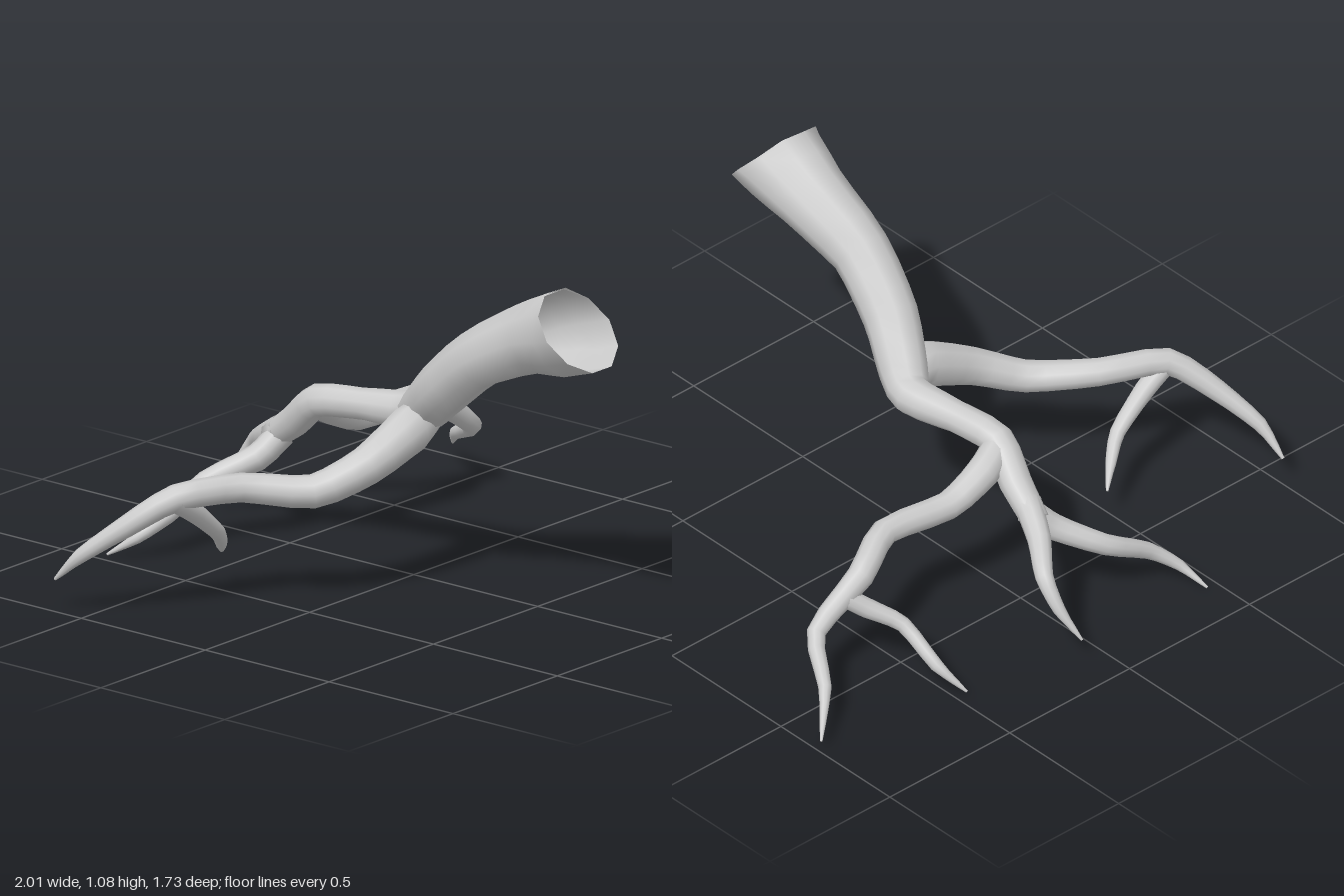
import * as THREE from 'three';

const SIDES = 10;
const STEPS = 3; // rings per path segment

const material = new THREE.MeshStandardMaterial({ color: 0xcccccc, side: THREE.DoubleSide });

// Sweeps a tapering round section along points [x, y, z, radius].
// startNormal tilts the first ring; the last ring closes in a tip.
function limb(name, points, startNormal) {
  const curve = new THREE.CatmullRomCurve3(
    points.map(([x, y, z]) => new THREE.Vector3(x, y, z)), false, 'catmullrom', 0.35);
  const rings = (points.length - 1) * STEPS;
  const positions = [];
  const index = [];
  const side = new THREE.Vector3(1, 0, 0);
  const up = new THREE.Vector3();

  for (let i = 0; i <= rings; i++) {
    const t = i / rings;
    const centre = curve.getPoint(t);
    const normal = i === 0 && startNormal ? startNormal.clone().normalize() : curve.getTangent(t);
    if (i === 0 && Math.abs(normal.x) > 0.8) side.set(0, 1, 0);
    // Carry the previous side vector along so the section does not twist
    side.addScaledVector(normal, -side.dot(normal)).normalize();
    up.crossVectors(normal, side);

    const k = Math.min(Math.floor(i / STEPS), points.length - 2);
    const radius = THREE.MathUtils.lerp(points[k][3], points[k + 1][3], i / STEPS - k);
    for (let j = 0; j < SIDES; j++) {
      const a = (j / SIDES) * Math.PI * 2;
      const p = centre.clone()
        .addScaledVector(side, Math.cos(a) * radius)
        .addScaledVector(up, Math.sin(a) * radius);
      positions.push(p.x, p.y, p.z);
      if (i < rings) {
        const a0 = i * SIDES + j;
        const b0 = i * SIDES + (j + 1) % SIDES;
        index.push(a0, b0, a0 + SIDES, b0, b0 + SIDES, a0 + SIDES);
      }
    }
  }

  // Tip cap
  const last = points[points.length - 1];
  const tip = positions.length / 3;
  positions.push(last[0], last[1], last[2]);
  for (let j = 0; j < SIDES; j++) {
    index.push(rings * SIDES + j, rings * SIDES + (j + 1) % SIDES, tip);
  }

  const geometry = new THREE.BufferGeometry();
  geometry.setAttribute('position', new THREE.Float32BufferAttribute(positions, 3));
  geometry.setIndex(index);
  geometry.computeVertexNormals();
  const mesh = new THREE.Mesh(geometry, material);
  mesh.name = name;
  return mesh;
}

export function createModel() {
  const root = new THREE.Group();
  root.name = 'branchingRoot';

  root.add(
    // Thick trunk with an open, slanted mouth, running on into the middle fork
    limb('trunk', [
      [-0.115, 0.98, 0.76, 0.15],
      [-0.1, 0.92, 0.57, 0.117],
      [-0.115, 0.81, 0.36, 0.094],
      [-0.085, 0.67, 0.19, 0.088],
      [-0.02, 0.565, 0.06, 0.078],
      [0.015, 0.53, -0.02, 0.065],
      [-0.015, 0.525, -0.19, 0.051],
      [-0.04, 0.51, -0.35, 0.053],
      [-0.015, 0.42, -0.46, 0.052],
      [0.0, 0.34, -0.57, 0.044],
    ], new THREE.Vector3(0, -0.22, -0.24)),

    // Middle fork
    limb('middleRightBranch', [
      [0.0, 0.36, -0.53, 0.045],
      [-0.07, 0.285, -0.575, 0.043],
      [-0.19, 0.215, -0.68, 0.034],
      [-0.34, 0.135, -0.71, 0.027],
      [-0.42, 0.07, -0.765, 0.018],
      [-0.46, 0.01, -0.85, 0.004],
    ]),
    limb('middleLeftBranch', [
      [-0.01, 0.38, -0.52, 0.045],
      [0.04, 0.32, -0.63, 0.038],
      [0.11, 0.265, -0.73, 0.029],
      [0.11, 0.175, -0.8, 0.02],
      [0.08, 0.085, -0.87, 0.004],
    ]),

    // Left side branch and its twig
    limb('leftBranch', [
      [-0.04, 0.5, -0.36, 0.05],
      [0.06, 0.455, -0.39, 0.053],
      [0.2, 0.395, -0.385, 0.046],
      [0.44, 0.4, -0.36, 0.043],
      [0.6, 0.345, -0.425, 0.042],
      [0.78, 0.215, -0.42, 0.03],
      [0.88, 0.135, -0.57, 0.021],
      [1.0, 0.05, -0.685, 0.004],
    ]),
    limb('leftTwig', [
      [0.67, 0.3, -0.425, 0.032],
      [0.61, 0.25, -0.47, 0.032],
      [0.535, 0.195, -0.55, 0.025],
      [0.515, 0.1, -0.68, 0.021],
      [0.465, 0.02, -0.765, 0.004],
    ]),

    // Right side branch and its twig
    limb('rightBranch', [
      [0.0, 0.54, 0.05, 0.06],
      [-0.12, 0.525, 0.085, 0.075],
      [-0.3, 0.445, 0.06, 0.062],
      [-0.45, 0.38, -0.03, 0.053],
      [-0.61, 0.4, -0.185, 0.046],
      [-0.81, 0.395, -0.28, 0.043],
      [-0.91, 0.3, -0.4, 0.034],
      [-0.98, 0.2, -0.52, 0.023],
      [-0.995, 0.11, -0.61, 0.005],
    ]),
    limb('rightTwig', [
      [-0.82, 0.39, -0.275, 0.036],
      [-0.72, 0.325, -0.275, 0.033],
      [-0.6, 0.23, -0.285, 0.025],
      [-0.53, 0.165, -0.33, 0.017],
      [-0.47, 0.12, -0.38, 0.004],
    ]),
  );

  return root;
}
